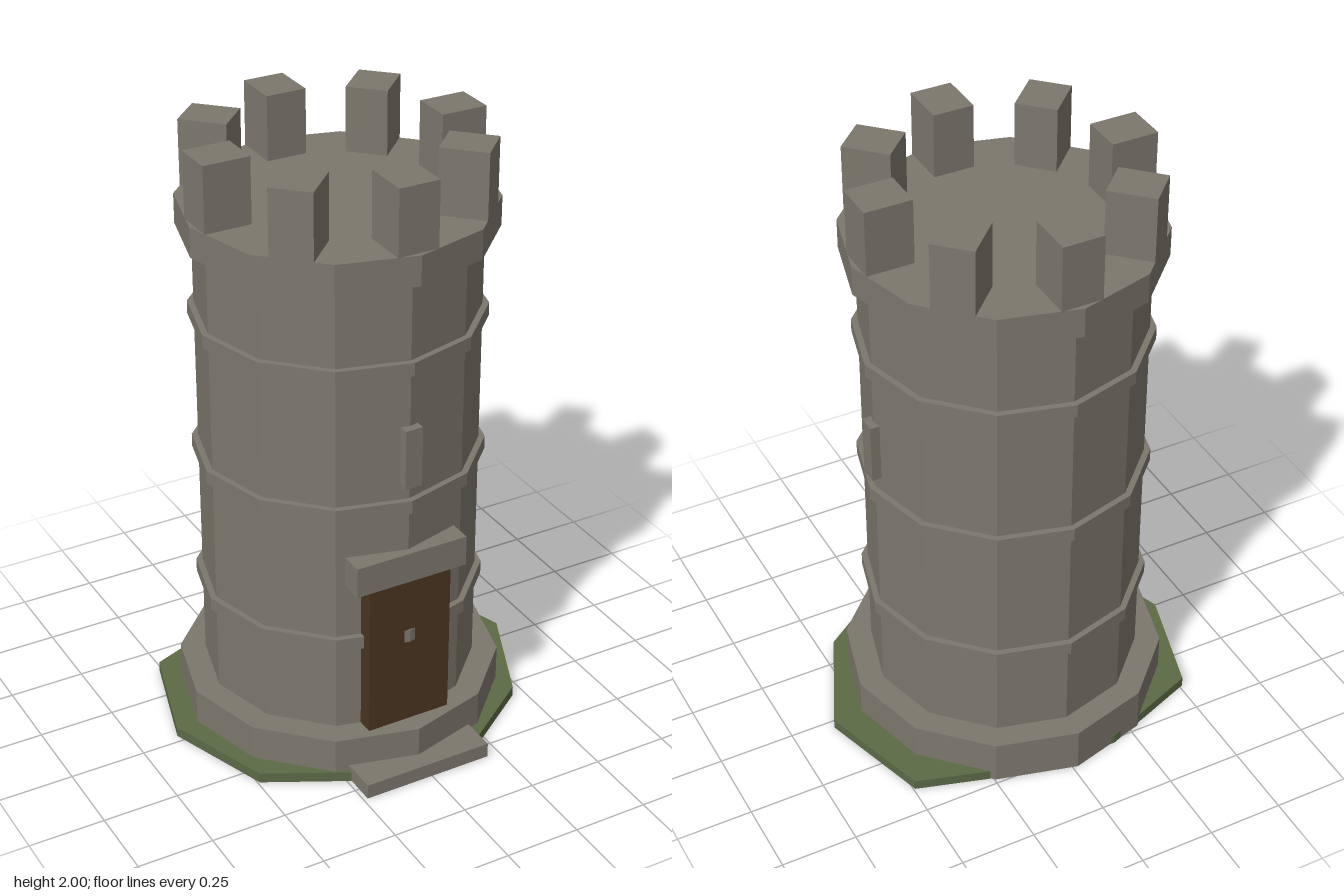
import * as THREE from 'three';

export function createModel() {
  const tower = new THREE.Group();
  tower.name = 'tower';
  // Tower axis sits slightly off the centre of the bounding box
  tower.position.set(-0.016, 0, -0.03);

  const material = (name, color) => {
    const m = new THREE.MeshStandardMaterial({ color, flatShading: true });
    m.name = name;
    return m;
  };
  const stone = material('stone', 0x7d776d);
  const wood = material('dark wood', 0x4a3522);
  const grass = material('grass', 0x5b6a46);

  const add = (name, geometry, mat) => {
    const mesh = new THREE.Mesh(geometry, mat);
    mesh.name = name;
    tower.add(mesh);
    return mesh;
  };
  // Twelve-sided stone drum between two heights
  const drum = (name, radius, y0, y1) =>
    add(name, new THREE.CylinderGeometry(radius, radius, y1 - y0, 12), stone)
      .position.y = (y0 + y1) / 2;
  // Box given by its limits on each axis, relative to the tower axis
  const block = (name, mat, [x0, x1], [y0, y1], [z0, z1]) =>
    add(name, new THREE.BoxGeometry(x1 - x0, y1 - y0, z1 - z0), mat)
      .position.set((x0 + x1) / 2, (y0 + y1) / 2, (z0 + z1) / 2);

  // Irregular ten-sided grass patch, radii counted from +x towards -z
  const radii = [0.626, 0.631, 0.504, 0.512, 0.611, 0.6, 0.59, 0.537, 0.58, 0.584];
  const outline = radii.map((r, i) => {
    const a = (i * Math.PI) / 5;
    return new THREE.Vector2(r * Math.cos(a), r * Math.sin(a));
  });
  const patch = new THREE.ExtrudeGeometry(new THREE.Shape(outline), { depth: 0.034, bevelEnabled: false });
  patch.rotateX(-Math.PI / 2);
  add('grassPatch', patch, grass);

  // Foot, shaft, raised bands and parapet floor
  drum('foot', 0.526, 0.002, 0.152);
  drum('shaft', 0.443, 0.15, 1.7);
  [0.47, 0.938, 1.408].forEach((y) => drum('band', 0.463, y - 0.022, y + 0.022));
  drum('parapet', 0.492, 1.69, 1.787);

  // Battlements
  for (let i = 0; i < 8; i++) {
    const a = (i * Math.PI) / 4;
    const merlon = add('merlon', new THREE.BoxGeometry(0.134, 0.215, 0.153), stone);
    merlon.position.set(0.399 * Math.sin(a), 1.8925, 0.399 * Math.cos(a));
    merlon.rotation.y = a;
  }

  // Entrance
  block('door', wood, [-0.144, 0.144], [0.15, 0.668], [0.38, 0.458]);
  block('lintel', stone, [-0.193, 0.193], [0.676, 0.778], [0.39, 0.468]);
  block('doorstep', stone, [-0.221, 0.221], [0.002, 0.052], [0.4, 0.586]);

  // Window slits on the front and the left side
  block('frontSlit', stone, [-0.029, 0.029], [1.01, 1.21], [0.41, 0.468]);
  block('sideSlit', stone, [0.41, 0.466], [1.01, 1.21], [-0.029, 0.029]);

  const model = new THREE.Group();
  model.name = 'watchtower';
  model.add(tower);
  return model;
}
